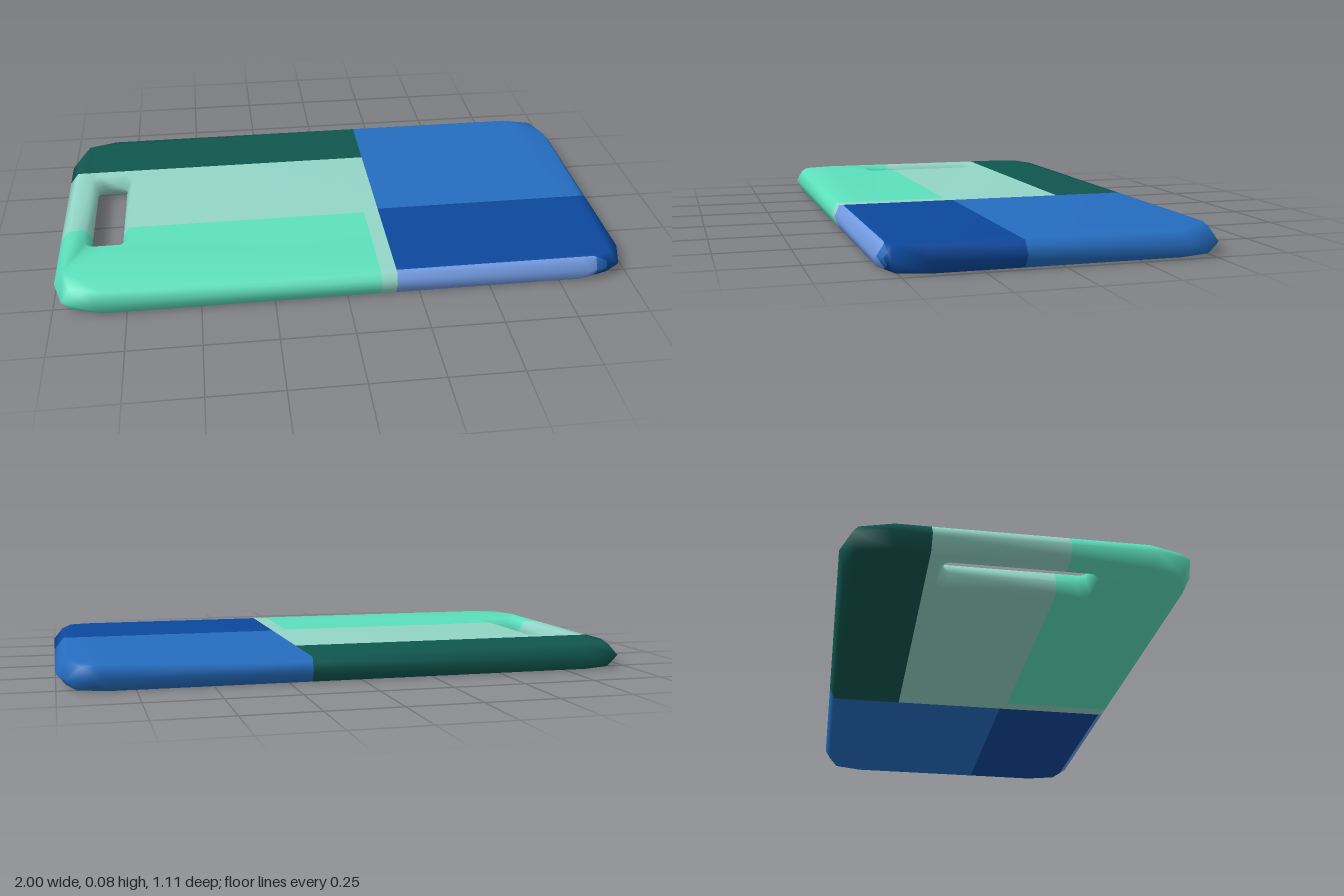
import * as THREE from 'three';
import { mergeVertices } from 'three/addons/utils/BufferGeometryUtils.js';

const THICK = 0.084;
const SLOT = { x: -0.83, hx: 0.055, hz: 0.23, cut: 0.025 };

// Cut lines of the colour fields
const CUTS = [[0, 0.115], [0, 0.17], [0, 0.88], [0, 0.92], [2, -0.285], [2, 0.12], [2, 0.14], [2, 0.525]];

const COLOURS = {
  mint: 0x5ce0bc, paleMint: 0x92d5c6, darkTeal: 0x10574f,
  blue: 0x256dc0, navy: 0x0c489c, lightBlue: 0x7099e0,
};
const PARTS = {
  mint: 'frontGripPanel', paleMint: 'middleGripPanel', darkTeal: 'backGripPanel',
  blue: 'mainEndPanel', navy: 'frontEndPanel', lightBlue: 'frontEdgeStrip',
};

function fieldAt(x, z) {
  if (x > 0.17) {
    if (z > 0.525 && x < 0.88) return 'lightBlue';
    if (z > 0.525 && x < 0.92) return 'blue';
    return z > 0.12 ? 'navy' : 'blue';
  }
  if (z < -0.285) return 'darkTeal';
  return z > 0.14 && x < 0.115 ? 'mint' : 'paleMint';
}

// Mirrors one corner's points into a full closed outline
function outline(corner, cx = 0) {
  const back = [...corner].reverse();
  return [
    ...corner, ...back.map(([x, y]) => [-x, y]),
    ...corner.map(([x, y]) => [-x, -y]), ...back.map(([x, y]) => [x, -y]),
  ].map(([x, y]) => new THREE.Vector2(x + cx, y));
}

// Board with pointed edges and a slot that widens towards both faces
function boardGeometry() {
  const shape = new THREE.Shape(outline([[1, 0.41], [0.966, 0.522], [0.857, 0.557]]));
  const { x: sx, hx, hz, cut } = SLOT;
  shape.holes.push(new THREE.Path(outline([[hx, hz - cut], [hx - cut, hz]], sx)));
  let geo = new THREE.ExtrudeGeometry(shape, { depth: THICK, steps: 2, bevelEnabled: false });
  geo.rotateX(-Math.PI / 2);
  const p = geo.attributes.position;
  for (let i = 0; i < p.count; i++) {
    const x = p.getX(i), z = p.getZ(i);
    if (Math.abs(p.getY(i) - THICK / 2) < 0.01) continue;
    if (Math.abs(x - sx) < 0.1 && Math.abs(z) < 0.3) {
      p.setX(i, x + 0.022 * Math.sign(x - sx));
      p.setZ(i, z + 0.022 * Math.sign(z));
    } else {
      p.setX(i, x * 0.967);
      p.setZ(i, z * 0.967);
    }
  }
  geo.deleteAttribute('normal');
  geo.deleteAttribute('uv');
  geo = mergeVertices(geo, 1e-4);
  geo.computeVertexNormals();
  return geo.toNonIndexed();
}

// Keeps the part of a polygon on one side of a cut line
function clip(poly, axis, at, side) {
  const out = [];
  poly.forEach((a, i) => {
    const b = poly[(i + 1) % poly.length];
    const da = (a[axis] - at) * side, db = (b[axis] - at) * side;
    if (da >= 0) out.push(a);
    if ((da > 0 && db < 0) || (da < 0 && db > 0)) {
      const t = da / (da - db);
      out.push(a.map((v, k) => v + (b[k] - v) * t));
    }
  });
  return out.length > 2 ? out : null;
}

export function createModel() {
  const group = new THREE.Group();
  group.name = 'board';
  const geo = boardGeometry();
  const p = geo.attributes.position.array, n = geo.attributes.normal.array;

  // Divide the surface along the cut lines
  let polys = [];
  for (let i = 0; i < p.length; i += 9) {
    polys.push([0, 3, 6].map((k) => [...p.slice(i + k, i + k + 3), ...n.slice(i + k, i + k + 3)]));
  }
  for (const [axis, at] of CUTS) {
    polys = polys.flatMap((q) => [clip(q, axis, at, 1), clip(q, axis, at, -1)].filter(Boolean));
  }

  // Sort the pieces into colour fields
  const fields = {};
  for (const q of polys) {
    const mid = (k) => q.reduce((s, v) => s + v[k], 0) / q.length;
    const f = (fields[fieldAt(mid(0), mid(2))] ??= { pos: [], nor: [] });
    for (let i = 1; i < q.length - 1; i++) {
      for (const v of [q[0], q[i], q[i + 1]]) {
        f.pos.push(...v.slice(0, 3));
        f.nor.push(...v.slice(3));
      }
    }
  }

  for (const [key, { pos, nor }] of Object.entries(fields)) {
    const g = new THREE.BufferGeometry();
    g.setAttribute('position', new THREE.Float32BufferAttribute(pos, 3));
    g.setAttribute('normal', new THREE.Float32BufferAttribute(nor, 3));
    g.normalizeNormals();
    const material = new THREE.MeshStandardMaterial({ color: COLOURS[key] });
    material.name = key;
    const mesh = new THREE.Mesh(g, material);
    mesh.name = PARTS[key];
    group.add(mesh);
  }
  return group;
}
